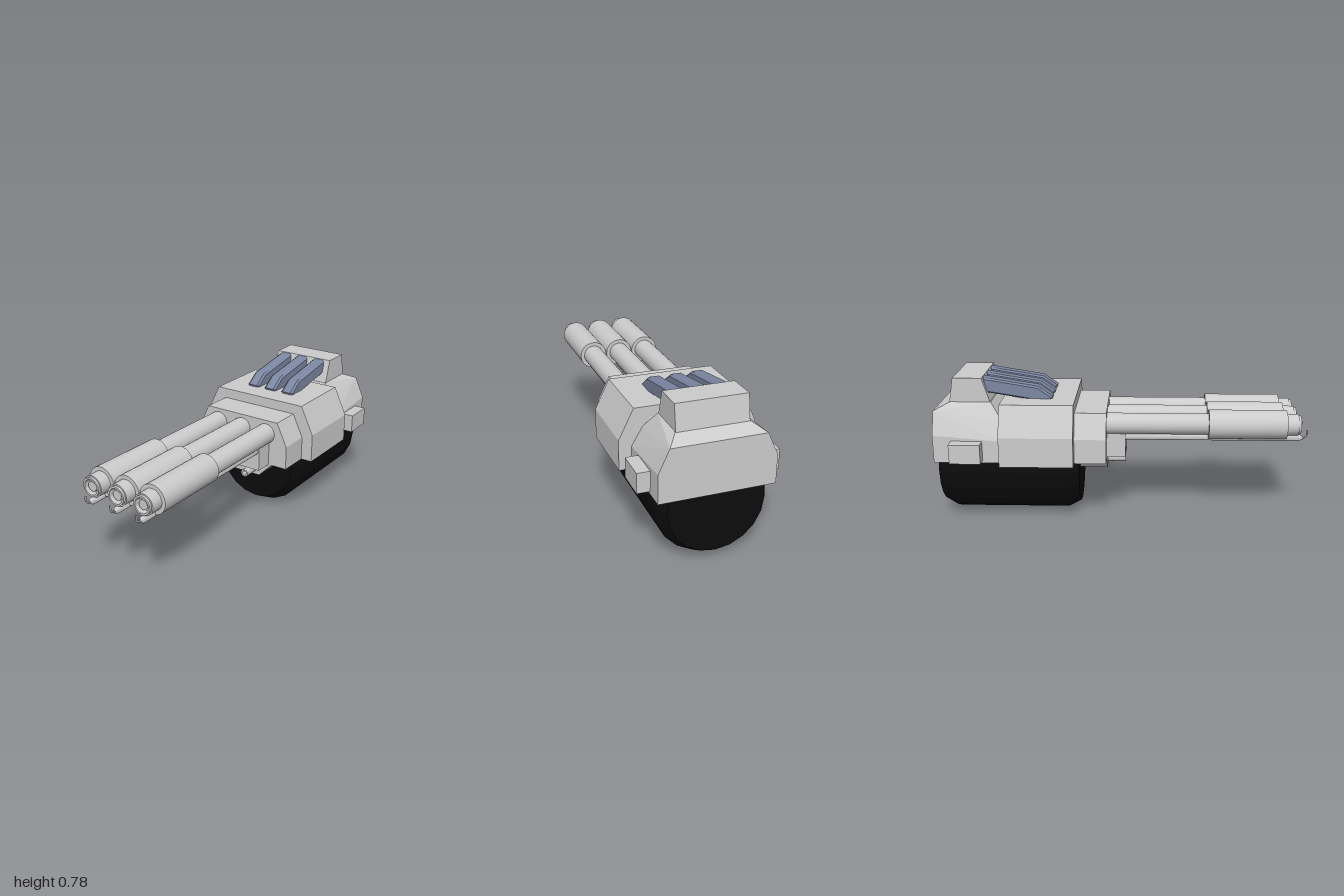
import * as THREE from 'three';
import { toCreasedNormals } from 'three/addons/utils/BufferGeometryUtils.js';
import { ConvexGeometry } from 'three/addons/geometries/ConvexGeometry.js';

const grey = new THREE.MeshStandardMaterial({ color: 0xcccccc });
const black = new THREE.MeshStandardMaterial({ color: 0x0c0c0c });
const blue = new THREE.MeshStandardMaterial({ color: 0x7c87a2 });

export function createModel() {
  const model = new THREE.Group();

  const add = (name, geometry, material = grey, x = 0, y = 0, z = 0) => {
    const mesh = new THREE.Mesh(geometry, material);
    mesh.name = name;
    mesh.position.set(x, y, z);
    model.add(mesh);
    return mesh;
  };

  // Faceted armour block: hull of half the corners, mirrored in x
  const armour = (name, corners) => {
    const points = corners.flatMap(([x, y, z]) => [
      new THREE.Vector3(x, y, z), new THREE.Vector3(-x, y, z)]);
    return add(name, new ConvexGeometry(points));
  };
  // Same outline at two depths
  const slab = (name, outline, z0, z1) =>
    armour(name, outline.flatMap(([x, y]) => [[x, y, z0], [x, y, z1]]));

  // Turned part along z; profile is [radius, z] from back to front
  const turned = (profile, sides, crease) => {
    const g = new THREE.LatheGeometry(profile.map(([r, z]) => new THREE.Vector2(r, z)), sides);
    g.rotateX(Math.PI / 2);
    return toCreasedNormals(g, crease);
  };

  // Drum under the housing
  add('drum', turned([[0, -0.99], [0.245, -0.99], [0.283, -0.92], [0.283, -0.30],
    [0.245, -0.23], [0, -0.23]], 20, 0.1), black, 0, 0.285, 0);

  // Housing blocks
  slab('middleHousing', [[0.36, 0.35], [0.36, 0.51], [0.284, 0.668]], -0.64, -0.25);
  slab('frontHousing', [[0.295, 0.35], [0.295, 0.483], [0.233, 0.612]], -0.3, -0.08);
  slab('chinPlate', [[0.203, 0.35], [0.12, 0.267]], -0.24, -0.08);
  slab('barrelCradle', [[0.183, 0.35], [0.183, 0.483]], -0.1, 0.02);
  armour('rearHousing', [
    [0.295, 0.35, -0.635], [0.295, 0.47, -0.635], [0.24, 0.565, -0.635],
    [0.185, 0.655, -0.70], [0.185, 0.655, -0.92],
    [0.295, 0.35, -1], [0.295, 0.5, -1], [0.24, 0.62, -1],
  ]);
  armour('rearTower', [
    [0.183, 0.64, -0.70], [0.183, 0.785, -0.745],
    [0.183, 0.785, -0.90], [0.183, 0.64, -0.925],
  ]);

  // Side boxes
  for (const side of [-1, 1]) {
    add('sideBox', new THREE.BoxGeometry(0.1, 0.105, 0.165), grey, side * 0.311, 0.418, -0.82);
  }

  // Three feed covers running from the tower to the deck
  const cover = new THREE.Shape([[0.38, 0.675], [0.45, 0.725], [0.735, 0.772],
    [0.735, 0.71], [0.46, 0.665], [0.385, 0.66]].map(([z, y]) => new THREE.Vector2(z, y)));
  const coverGeometry = new THREE.ExtrudeGeometry(cover, {
    depth: 0.051, bevelEnabled: true, bevelThickness: 0.012, bevelSize: 0.009, bevelSegments: 1,
  });
  coverGeometry.translate(0, 0, -0.0255);
  coverGeometry.rotateY(Math.PI / 2);
  for (const x of [-0.12, -0.006, 0.11]) add('feedCover', coverGeometry, blue, x);

  // Three barrels with a sleeve and a hollow muzzle, each with a rod below
  const barrel = turned([[0, -0.1], [0.057, -0.1], [0.057, 0.465], [0.078, 0.465], [0.078, 0.88],
    [0.057, 0.88], [0.057, 0.943], [0.05, 0.943], [0.05, 0.956], [0.04, 0.956],
    [0.038, 0.925], [0.026, 0.925], [0.026, 0.945], [0, 0.945]], 32, 0.6);
  const rod = turned([[0, -0.02], [0.016, -0.02], [0.016, 0.955], [0.008, 0.972], [0, 0.972]], 16, 0.6);
  rod.scale(1, 1.15, 1);
  const hookPath = new THREE.CatmullRomCurve3([
    new THREE.Vector3(0, 0.462, 0.95), new THREE.Vector3(0, 0.464, 0.982),
    new THREE.Vector3(0, 0.475, 0.994), new THREE.Vector3(0, 0.507, 0.996)]);
  const hook = new THREE.TubeGeometry(hookPath, 12, 0.0045, 8);
  for (const x of [-0.16, 0, 0.16]) {
    add('barrel', barrel, grey, x, 0.535, 0);
    add('barrelRod', rod, grey, x, 0.462, 0);
    add('rodHook', hook, grey, x);
  }

  // Two short nozzles in the chin plate
  const nozzle = turned([[0, -0.1], [0.022, -0.1], [0.022, 0.02], [0.013, 0.02],
    [0.013, -0.01], [0, -0.01]], 20, 0.6);
  for (const x of [-0.073, 0.087]) add('chinNozzle', nozzle, grey, x, 0.31, 0);

  return model;
}
